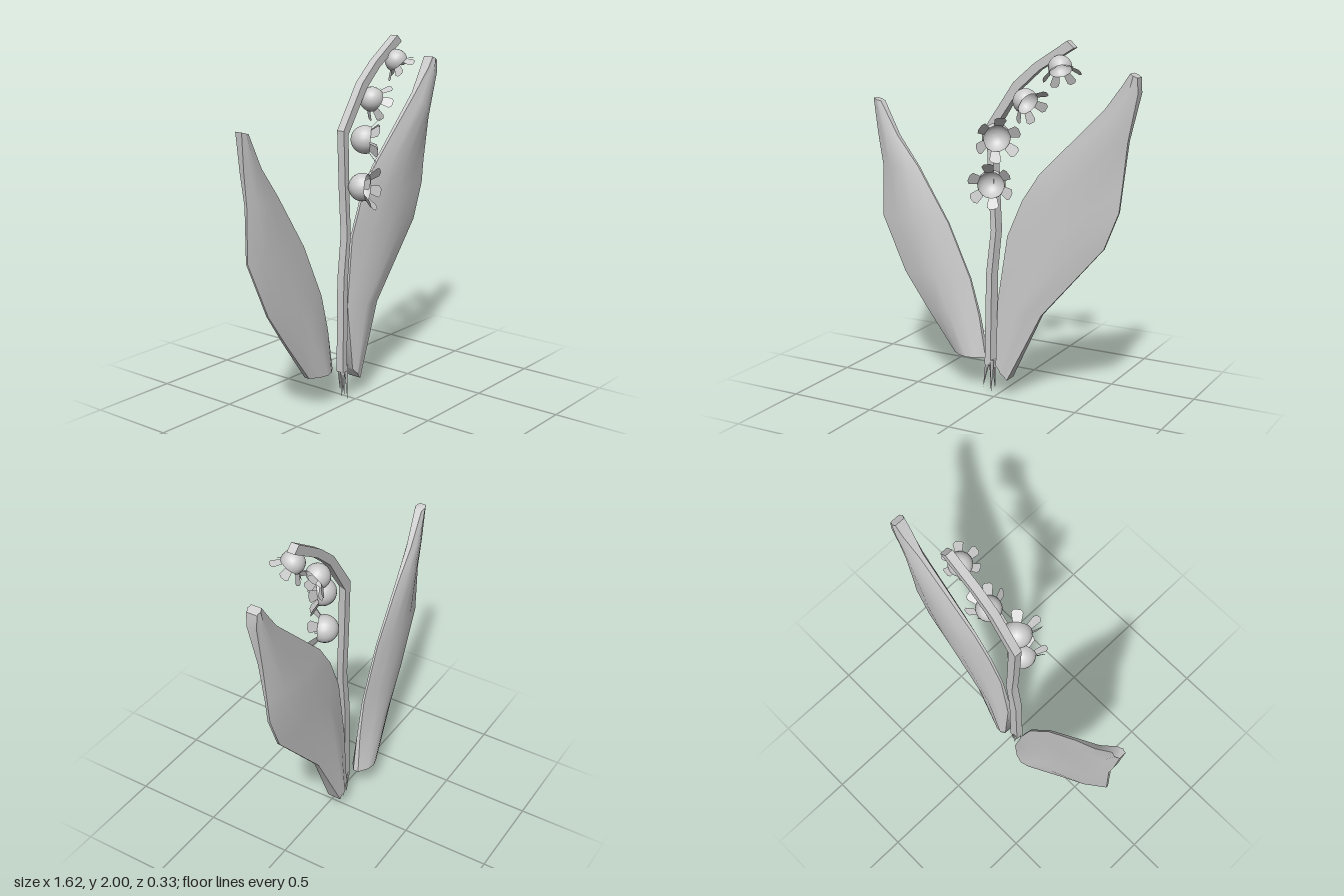
import * as THREE from 'three';
import { toCreasedNormals } from 'three/addons/utils/BufferGeometryUtils.js';

const material = new THREE.MeshStandardMaterial({ color: 0xcccccc, side: THREE.DoubleSide });

// Cross-section outlines: u runs from left edge to right edge, w is depth.
// e is the edge thickness of a blade, or the bevel of the stem's right side.
const blade = (e) => {
  const m = Math.max(e, 0.78);
  return [[0, -e], [0, e], [0.25, m], [0.5, 1], [0.75, m], [1, e], [1, -e], [0.75, -m], [0.5, -1], [0.25, -m]];
};
const stalk = (e) => [[0, -1], [0, 1], [1 - e, 1], [1, -1]];

// Loft through sections [leftX, leftY, rightX, rightY, centreZ, halfDepth, e], from the bottom up
function loft(sections, outline, crease) {
  const n = outline(0).length, positions = [], index = [];
  for (const [lx, ly, rx, ry, z, h, e] of sections) {
    for (const [u, w] of outline(e)) positions.push(lx + (rx - lx) * u, ly + (ry - ly) * u, z + h * w);
  }
  for (let s = 0; s < sections.length - 1; s++) {
    for (let i = 0; i < n; i++) {
      const a = s * n + i, b = s * n + (i + 1) % n;
      index.push(a, b, b + n, a, b + n, a + n);
    }
  }
  const top = (sections.length - 1) * n;
  for (let i = 1; i < n - 1; i++) index.push(0, i + 1, i, top, top + i, top + i + 1);
  const geometry = new THREE.BufferGeometry();
  geometry.setAttribute('position', new THREE.Float32BufferAttribute(positions, 3));
  geometry.setIndex(index);
  return toCreasedNormals(geometry, crease);
}

function add(parent, name, geometry) {
  const mesh = new THREE.Mesh(geometry, material);
  mesh.name = name;
  parent.add(mesh);
  return mesh;
}

// Wide-mouthed bell with six flared petals, opening along +y, unit radius
function createFlower(name, radius, centre, axis) {
  const flower = new THREE.Group();
  flower.name = name;
  const profile = [];
  for (let i = 0; i <= 10; i++) {
    const t = (i / 10) * THREE.MathUtils.degToRad(112);
    profile.push(new THREE.Vector2(Math.sin(t), -Math.cos(t)));
  }
  add(flower, 'bell', new THREE.LatheGeometry(profile, 20));

  const petalShape = new THREE.Shape([
    [-0.3, 0], [0.3, 0], [0.42, 0.72], [0.22, 0.92], [-0.22, 0.92], [-0.42, 0.72],
  ].map(([x, y]) => new THREE.Vector2(x, y)));
  const petalGeometry = new THREE.ShapeGeometry(petalShape);
  petalGeometry.rotateX(0.85).translate(0, 0.36, 0.9);
  for (let i = 0; i < 6; i++) {
    add(flower, 'petal', petalGeometry).rotation.y = (i + 0.5) * Math.PI / 3;
  }
  flower.scale.setScalar(radius);
  flower.position.set(...centre);
  flower.quaternion.setFromUnitVectors(new THREE.Vector3(0, 1, 0), new THREE.Vector3(...axis).normalize());
  return flower;
}

export function createModel() {
  const model = new THREE.Group();
  model.name = 'flowerPlant';

  // Leaves: thin-edged blades with blunt ends
  add(model, 'leftLeaf', loft([
    [0.0, 0.175, 0.07, 0.10, -0.06, 0.05, 0.8],
    [-0.005, 0.54, 0.265, 0.50, -0.065, 0.045, 0.3],
    [0.05, 0.92, 0.625, 0.915, -0.068, 0.045, 0.15],
    [0.14, 1.13, 0.705, 1.12, -0.07, 0.048, 0.15],
    [0.24, 1.28, 0.72, 1.25, -0.07, 0.048, 0.15],
    [0.62, 1.66, 0.75, 1.50, -0.065, 0.043, 0.3],
    [0.72, 1.79, 0.805, 1.75, -0.065, 0.04, 0.7],
    [0.76, 1.85, 0.80, 1.83, -0.065, 0.038, 0.8],
  ], blade, 0.8));
  add(model, 'rightLeaf', loft([
    [-0.30, 0.19, -0.10, 0.19, -0.10, 0.065, 0.25],
    [-0.49, 0.44, -0.14, 0.43, -0.092, 0.05, 0.2],
    [-0.625, 0.63, -0.195, 0.64, -0.086, 0.042, 0.15],
    [-0.77, 0.945, -0.335, 0.945, -0.086, 0.038, 0.15],
    [-0.765, 1.24, -0.53, 1.25, -0.09, 0.038, 0.2],
    [-0.79, 1.42, -0.66, 1.42, -0.088, 0.035, 0.4],
    [-0.81, 1.625, -0.76, 1.61, -0.085, 0.03, 0.7],
  ], blade, 0.8));

  // Arching stem
  add(model, 'stem', loft([
    [-0.075, 0.17, -0.02, 0.17, 0.35],
    [-0.065, 0.70, -0.015, 0.70, 0.3],
    [-0.035, 0.95, 0.01, 0.95, 0.3],
    [-0.05, 1.20, -0.002, 1.20, 0.3],
    [-0.062, 1.53, -0.012, 1.50, 0.2],
    [0.10, 1.77, 0.135, 1.735, 0],
    [0.22, 1.875, 0.25, 1.84, 0],
    [0.41, 2.0, 0.45, 1.965, 0],
  ].map(([lx, ly, rx, ry, e]) => [lx, ly, rx, ry, -0.052, 0.023, e]), stalk, 0.5));

  // Root spikes, each leaning out to its tip
  for (const [x, z, tipX, tipY, tipZ] of [
    [-0.06, -0.04, -0.085, 0.045, -0.03], [-0.035, -0.04, -0.035, 0.01, -0.03],
    [-0.06, -0.065, -0.05, 0.06, -0.07], [-0.035, -0.065, -0.025, 0.03, -0.06],
  ]) {
    const base = new THREE.Vector3(x, 0.2, z), tip = new THREE.Vector3(tipX, tipY - 0.01, tipZ);
    const length = base.distanceTo(tip);
    const root = add(model, 'root', new THREE.ConeGeometry(0.015, length, 4));
    root.position.copy(base).lerp(tip, 0.5);
    root.quaternion.setFromUnitVectors(new THREE.Vector3(0, 1, 0), tip.sub(base).normalize());
  }

  // Bell flowers, from lowest to highest
  model.add(
    createFlower('lowestFlower', 0.077, [0.008, 1.225, 0.042], [0.38, 0, 0.92]),
    createFlower('lowerFlower', 0.077, [0.035, 1.48, 0.038], [0.6, -0.08, 0.8]),
    createFlower('upperFlower', 0.068, [0.175, 1.675, -0.025], [0.8, -0.45, 0.3]),
    createFlower('highestFlower', 0.063, [0.38, 1.865, -0.015], [0.4, -0.75, 0.45]),
  );
  return model;
}
